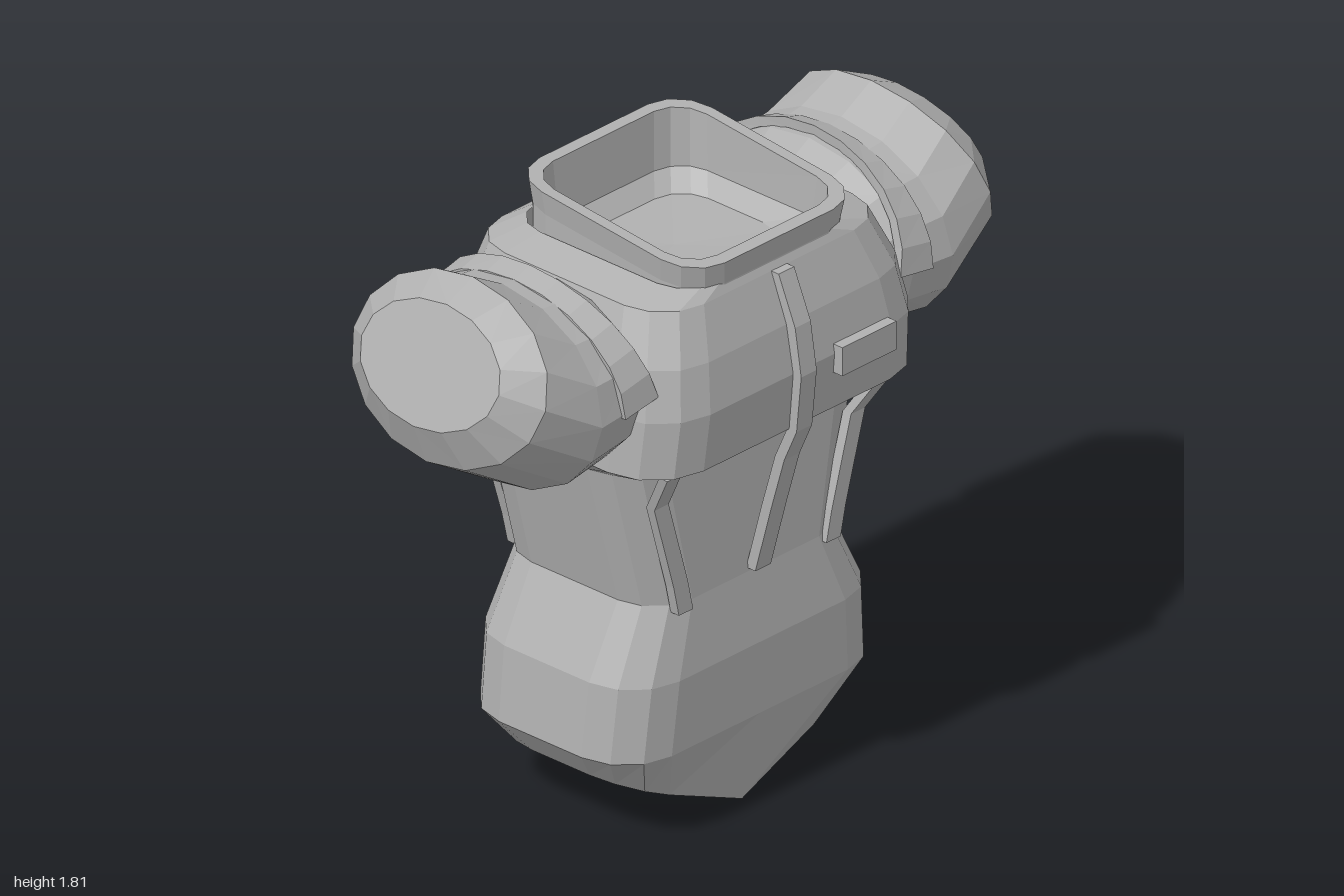
import * as THREE from 'three';

const grey = new THREE.MeshStandardMaterial({ color: 0xb0b0b0, flatShading: true, side: THREE.DoubleSide });
grey.name = 'plate grey';

// Skin a list of closed rings; optional end points close the first and last ring
function loft(name, rings, { start, end, side = 1 } = {}) {
  const pos = [];
  const tri = (...points) => {
    if (side < 0) points.reverse();
    points.forEach(([x, y, z]) => pos.push(x * side, y, z));
  };
  const n = rings[0].length;
  for (let j = 0; j < n; j++) {
    const k = (j + 1) % n;
    for (let i = 0; i < rings.length - 1; i++) {
      const a = rings[i][j], b = rings[i][k], c = rings[i + 1][k], d = rings[i + 1][j];
      tri(a, b, c);
      tri(a, c, d);
    }
    const last = rings[rings.length - 1];
    if (start) tri(start, rings[0][k], rings[0][j]);
    if (end) tri(end, last[j], last[k]);
  }
  const geometry = new THREE.BufferGeometry();
  geometry.setAttribute('position', new THREE.Float32BufferAttribute(pos, 3));
  geometry.computeVertexNormals();
  const mesh = new THREE.Mesh(geometry, grey);
  mesh.name = name;
  return mesh;
}

const middle = (ring) => [0, 1, 2].map((k) => ring.reduce((s, p) => s + p[k], 0) / ring.length);

// Horizontal rounded rectangle; height is a number or a function of x and z
function slice(height, w, front, back, r) {
  const quarter = (z, s) => [
    [w - r, z], [w - r * 0.5, z - s * r * 0.13], [w - r * 0.13, z - s * r * 0.5], [w, z - s * r],
  ];
  const half = [...quarter(front, 1), ...quarter(back, -1).reverse()];
  const outline = [[0, front], ...half, [0, back], ...half.map(([x, z]) => [-x, z]).reverse()];
  return outline.map(([x, z]) => [x, typeof height === 'function' ? height(x, z) : height, z]);
}

// Flat strap following a rising path of [x, y, z]
function strap(name, path, width, thick, side = 1) {
  const w = width / 2, t = thick / 2;
  const rings = path.map(([x, y, z]) => [
    [x - w, y, z + t], [x + w, y, z + t], [x + w, y, z - t], [x - w, y, z - t],
  ]);
  return loft(name, rings, { start: middle(rings[0]), end: middle(rings[rings.length - 1]), side });
}

function createTorso() {
  // height, half width, front z, back z, corner size
  const levels = [
    [(x) => Math.min(0.18, 0.42 * Math.abs(x)), 0.43, 0.2, -0.31, 0.15],
    [0.28, 0.51, 0.265, -0.375, 0.17],
    [0.5, 0.49, 0.275, -0.375, 0.17],
    [0.71, 0.385, 0.25, -0.345, 0.14],
    [1.13, 0.48, 0.235, -0.37, 0.15],
    [1.19, 0.54, 0.4, -0.405, 0.18],
    [1.36, 0.53, 0.415, -0.44, 0.18],
    [1.5, 0.5, 0.39, -0.435, 0.17],
    [1.64, 0.44, 0.335, -0.4, 0.15],
    [1.67, 0.33, 0.32, -0.345, 0.12],
  ];
  return loft('torso', levels.map((l) => slice(...l)), { start: [0, 0.07, -0.2] });
}

function createCollar() {
  const rim = (x, z) => 1.733 + (0.335 - z) * 0.107;
  const rings = [
    slice(1.61, 0.32, 0.325, -0.335, 0.12),
    slice((x, z) => rim(x, z) - 0.07, 0.32, 0.325, -0.335, 0.12),
    slice(rim, 0.33, 0.335, -0.34, 0.12),
    slice(rim, 0.295, 0.295, -0.305, 0.1),
    slice(1.63, 0.285, 0.285, -0.295, 0.1),
    slice(1.58, 0.24, 0.15, -0.25, 0.1),
  ];
  return loft('collar', rings, { end: [0, 1.57, -0.05] });
}

function createSleeve(side) {
  // top x, top y, bottom x, bottom y, depth radius
  const stations = [
    [0.42, 1.62, 0.44, 1.18, 0.33],
    [0.53, 1.685, 0.545, 1.155, 0.375],
    [0.655, 1.7, 0.7, 1.13, 0.385],
    [0.77, 1.765, 0.95, 1.28, 0.35],
    [0.87, 1.72, 1.0, 1.405, 0.25],
  ];
  const rings = stations.map(([tx, ty, bx, by, rz]) =>
    Array.from({ length: 16 }, (_, i) => {
      const a = (i / 16) * Math.PI * 2, t = (1 - Math.cos(a)) / 2;
      return [tx + (bx - tx) * t, ty + (by - ty) * t, -0.055 + rz * Math.sin(a)];
    }));
  return loft('sleeve', rings, { start: middle(rings[0]), end: middle(rings[4]), side });
}

// Band arching over the top of the sleeve
function createShoulderBand(side) {
  const rings = Array.from({ length: 13 }, (_, i) => {
    const a = (i / 12) * Math.PI, s = Math.sin(a), c = Math.cos(a);
    const inner = 0.468 + 0.08 * s, outer = 0.595 + 0.015 * s;
    const point = (x, y, d) => [x, y + (0.285 - d) * s, -0.055 + (0.392 - d) * c];
    return [point(inner, 1.43, 0), point(outer, 1.41, 0), point(outer, 1.41, 0.03), point(inner, 1.43, 0.03)];
  });
  return loft('shoulderBand', rings, { start: middle(rings[0]), end: middle(rings[12]), side });
}

export function createModel() {
  const model = new THREE.Group();
  model.name = 'torsoArmour';
  model.add(createTorso(), createCollar());

  // Strap down the middle of the chest
  model.add(strap('centreStrap', [
    [0, 0.72, 0.26], [0, 0.92, 0.315], [0, 1.09, 0.365], [0, 1.19, 0.41],
    [0, 1.36, 0.427], [0, 1.5, 0.405], [0, 1.64, 0.345],
  ], 0.06, 0.034));

  // Small plate on the chest
  const badge = new THREE.Mesh(new THREE.BoxGeometry(0.21, 0.085, 0.06), grey);
  badge.name = 'chestPlate';
  badge.position.set(0.235, 1.345, 0.413);
  model.add(badge);

  for (const side of [1, -1]) {
    model.add(createSleeve(side), createShoulderBand(side));
    // Slanting straps across the waist, front and back
    model.add(strap('frontWaistStrap', [
      [0.285, 0.69, 0.25], [0.305, 0.78, 0.25], [0.38, 1.04, 0.25], [0.415, 1.17, 0.33],
    ], 0.055, 0.03, side));
    model.add(strap('backWaistStrap', [
      [0.285, 0.69, -0.345], [0.305, 0.78, -0.347], [0.38, 1.04, -0.355], [0.415, 1.17, -0.375],
    ], 0.055, 0.03, side));
  }
  return model;
}
